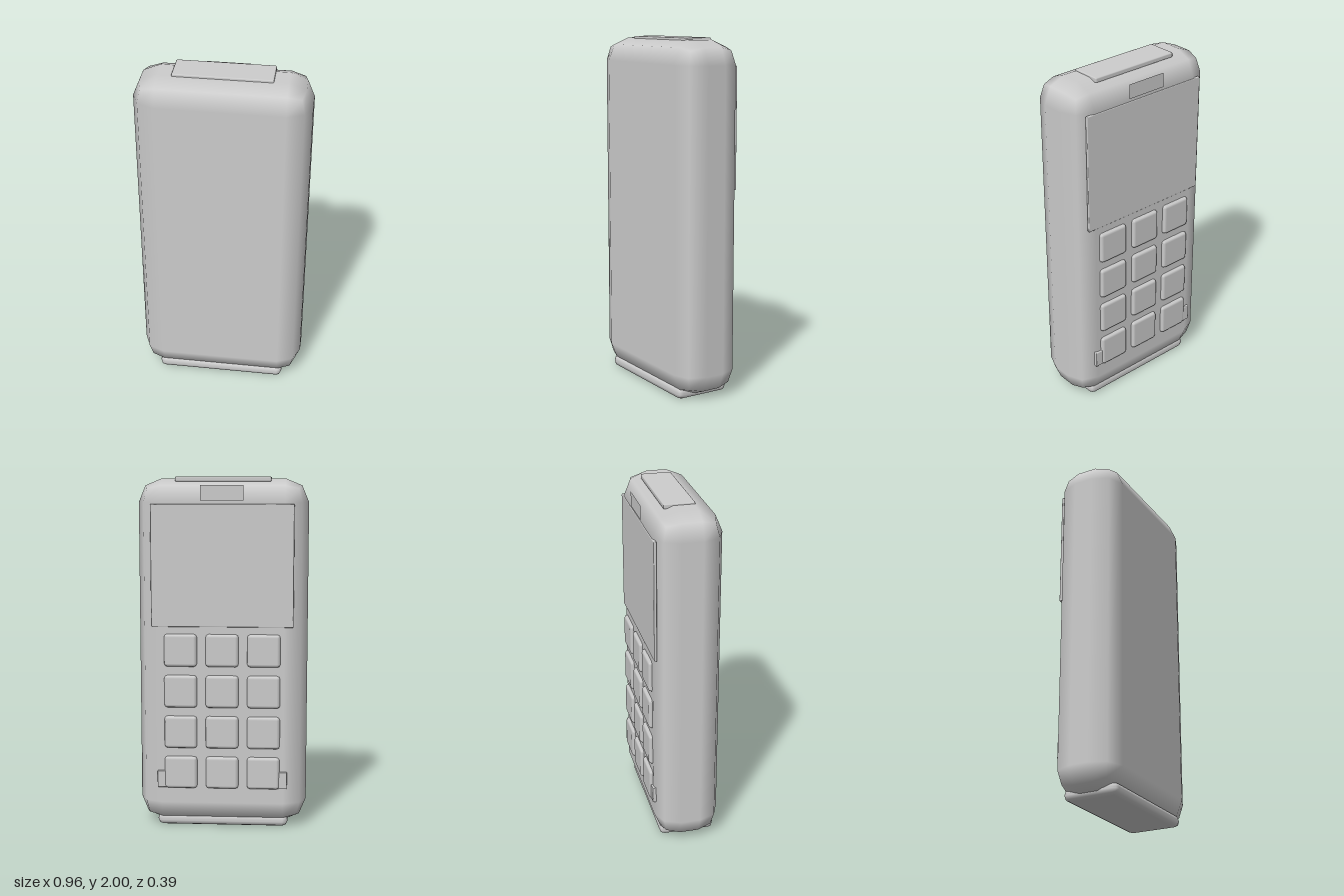
import * as THREE from 'three';
import { RoundedBoxGeometry } from 'three/addons/geometries/RoundedBoxGeometry.js';

const gray = new THREE.MeshStandardMaterial({ color: 0xcccccc, side: THREE.DoubleSide });
gray.name = 'plainGray';

// Box with bevelled edges, given by its lower and upper corners
function block(name, min, max, radius, segments = 1) {
  const size = max.map((v, i) => v - min[i]);
  const mesh = new THREE.Mesh(new RoundedBoxGeometry(...size, segments, radius), gray);
  mesh.position.set(...max.map((v, i) => (v + min[i]) / 2));
  mesh.name = name;
  return mesh;
}

export function createModel() {
  const model = new THREE.Group();
  model.name = 'handset';

  // Casing with its end pieces
  model.add(block('body', [-0.48, 0.016, -0.178], [0.48, 1.99, 0.197], 0.132));
  model.add(block('topCap', [-0.27, 1.972, -0.098], [0.27, 2, 0.074], 0.007));
  model.add(block('base', [-0.375, 0, -0.147], [0.375, 0.066, 0.175], 0.03));

  // Display on the back
  model.add(block('screen', [-0.4, 1.165, -0.182], [0.4, 1.85, -0.165], 0.005));

  // Flat earpiece plate above the display
  const earpiece = new THREE.Mesh(new THREE.PlaneGeometry(0.24, 0.082), gray);
  earpiece.name = 'earpiece';
  earpiece.rotation.y = Math.PI;
  earpiece.position.set(0, 1.911, -0.187);
  model.add(earpiece);

  // Keypad of three columns and four rows
  const keypad = new THREE.Group();
  keypad.name = 'keypad';
  for (let row = 0; row < 4; row++) {
    for (let col = -1; col <= 1; col++) {
      const x = col * 0.235, y = 1.032 - row * 0.235;
      keypad.add(block('key', [x - 0.093, y - 0.093, -0.198], [x + 0.093, y + 0.093, -0.15], 0.018));
    }
  }
  model.add(keypad);

  // Small tabs beside the bottom row
  for (const side of [-1, 1]) {
    const x = side * 0.33;
    model.add(block('sideTab', [x - 0.04, 0.238, -0.189], [x + 0.04, 0.335, -0.165], 0.005));
  }

  return model;
}
